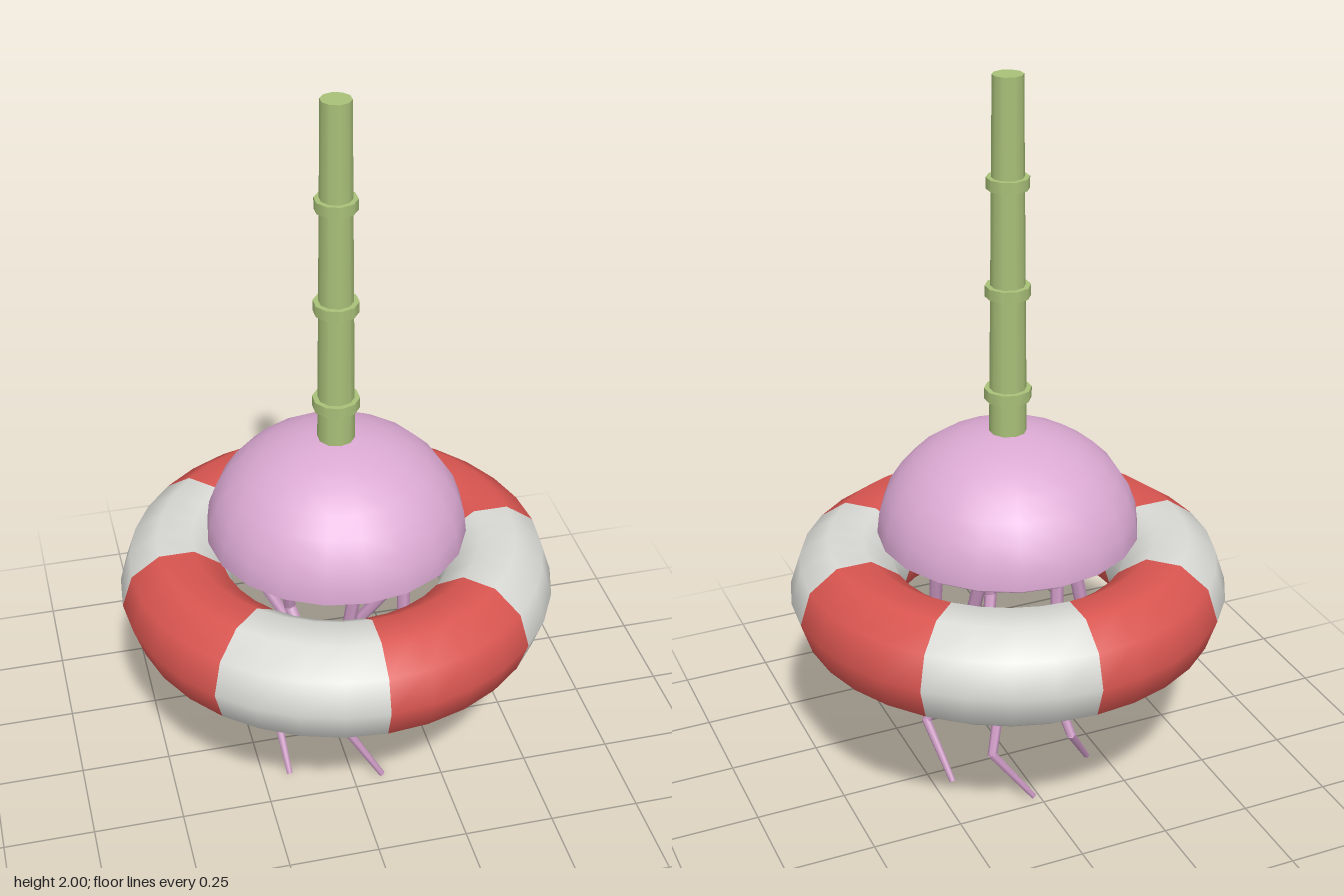
import * as THREE from 'three';

const mat = (name, color, side = THREE.FrontSide) => {
  const m = new THREE.MeshStandardMaterial({ color, side });
  m.name = name;
  return m;
};

export function createModel() {
  const pink = mat('bell pink', 0xdba9d3, THREE.DoubleSide);
  const mauve = mat('tentacle mauve', 0xc795bf);
  const red = mat('float red', 0xd95550);
  const white = mat('float white', 0xd9d9d5);
  const green = mat('bamboo green', 0xa8bf78);

  const root = new THREE.Group();
  root.name = 'floatingJellyfish';
  const add = (name, geo, material, parent = root) => {
    const m = new THREE.Mesh(geo, material);
    m.name = name;
    parent.add(m);
    return m;
  };

  // Ring float: eight arcs, alternating red and white
  const ring = new THREE.Group();
  ring.name = 'ringFloat';
  ring.position.y = 0.58;
  root.add(ring);
  for (let i = 0; i < 8; i++) {
    const arc = new THREE.TorusGeometry(0.443, 0.155, 10, 4, Math.PI / 4);
    arc.rotateX(-Math.PI / 2).rotateY((i * Math.PI) / 4);
    add('ringSection', arc, i % 2 ? white : red, ring);
  }

  // Bell: domed top and shallow underside
  const dome = new THREE.SphereGeometry(0.355, 20, 8, 0, Math.PI * 2, 0, Math.PI / 2);
  dome.scale(1, 0.295 / 0.355, 1);
  add('bellDome', dome, pink).position.y = 0.75;
  const under = new THREE.SphereGeometry(0.355, 20, 4, 0, Math.PI * 2, Math.PI / 2, Math.PI / 2);
  under.scale(1, 0.05 / 0.355, 1);
  add('bellUnderside', under, pink).position.y = 0.75;

  // Bamboo stem with raised joints
  add('stem', new THREE.CylinderGeometry(0.04, 0.055, 1.41, 10), green).position.y = 1.295;
  [[1.725, 0.056], [1.437, 0.06], [1.15, 0.063]].forEach(([y, r]) => {
    add('stemJoint', new THREE.CylinderGeometry(r, r, 0.03, 10), green).position.y = y;
  });

  // Tentacles: bent chains of thin tapered rods, [x, z] at each level
  const levels = [0.72, 0.44, 0.3, 0.15, 0.01];
  const radii = [0.019, 0.018, 0.016, 0.013, 0.009];
  const chains = [
    [[0.16, 0.12], [0.15, 0.17], [0.11, 0.06], [0.23, 0.05], [0.2, -0.065]],
    [[0.02, 0.18], [-0.02, 0.17], [0.045, 0.055], [-0.01, 0.175], [0.08, 0.22]],
    [[-0.15, 0], [-0.12, -0.065], [-0.075, 0.045], [-0.19, 0.05], [-0.175, 0.155]],
    [[-0.12, -0.15], [-0.17, -0.17], [-0.085, -0.085], [-0.115, -0.18], [-0.2, -0.105]],
    [[0.12, -0.12], [0.15, -0.05], [0.055, -0.085], [0.125, -0.18], [0.02, -0.22]],
  ];
  const up = new THREE.Vector3(0, 1, 0);
  chains.forEach((chain) => {
    const tentacle = new THREE.Group();
    tentacle.name = 'tentacle';
    root.add(tentacle);
    const pts = chain.map(([x, z], i) => new THREE.Vector3(x, levels[i], z));
    for (let i = 0; i < pts.length - 1; i++) {
      const dir = pts[i].clone().sub(pts[i + 1]);
      const rod = new THREE.CylinderGeometry(radii[i], radii[i + 1], dir.length() + 0.008, 6);
      const m = add('tentacleSegment', rod, mauve, tentacle);
      m.position.copy(pts[i]).add(pts[i + 1]).multiplyScalar(0.5);
      m.quaternion.setFromUnitVectors(up, dir.normalize());
    }
  });

  return root;
}
